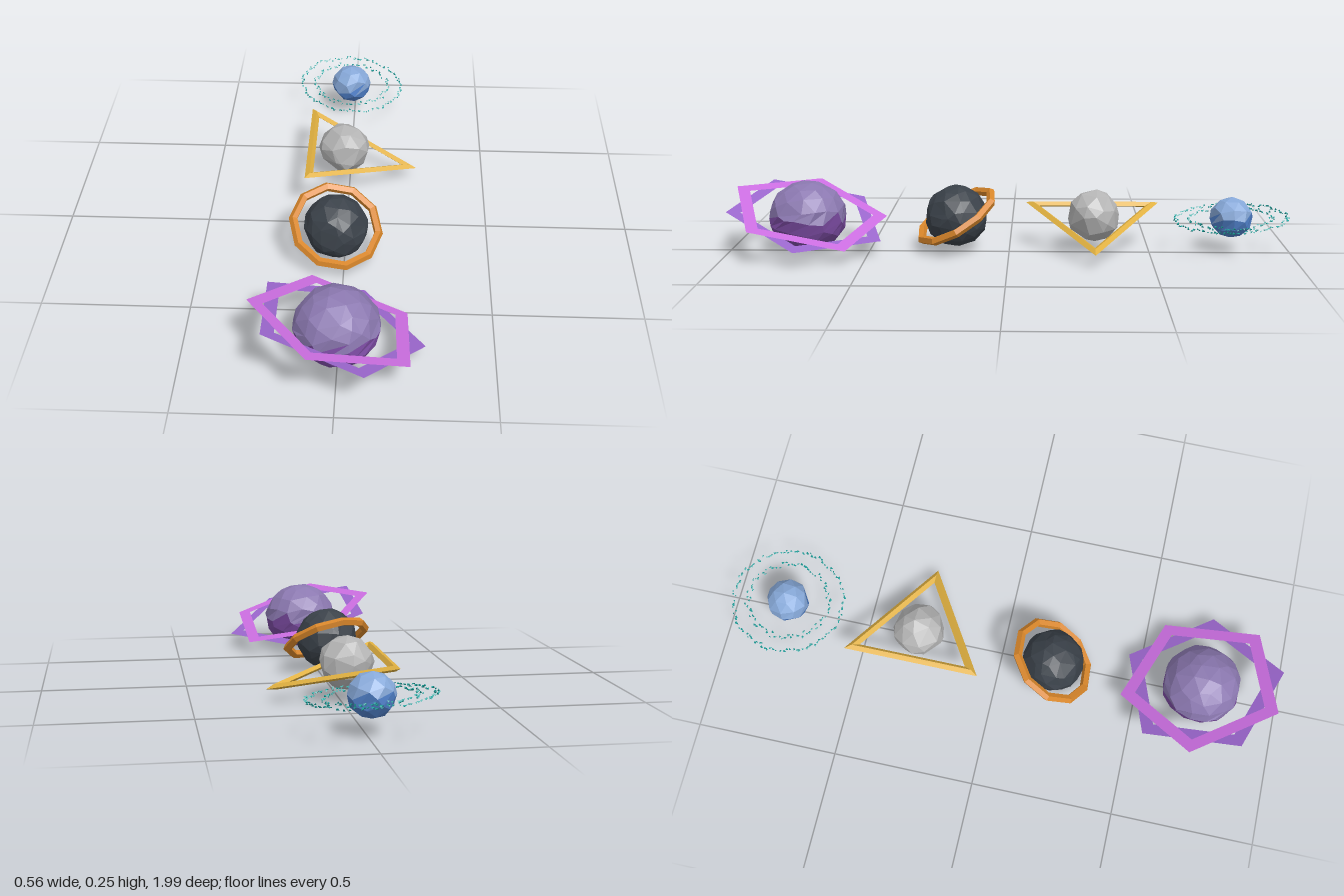
import * as THREE from 'three';
import { mergeGeometries } from 'three/addons/utils/BufferGeometryUtils.js';

const paint = (color) => new THREE.MeshStandardMaterial({ color, flatShading: true, side: THREE.DoubleSide });

function addMesh(parent, name, geometry, color) {
  const mesh = new THREE.Mesh(geometry, paint(color));
  mesh.name = name;
  parent.add(mesh);
  return mesh;
}

// Repeatable offset from a position, so shared corners move together
function noise(v, seed) {
  const r = (n) => Math.round(n * 1000) / 1000;
  const s = Math.sin(r(v.x) * 12.99 + r(v.y) * 78.23 + r(v.z) * 37.72 + seed) * 437.58;
  return (s - Math.floor(s)) * 2 - 1;
}

// Faceted ball with rough corners, optionally twisted about its equator
function roughBall(radius, detail, rough, twist, squash = 1) {
  const geo = new THREE.IcosahedronGeometry(1, detail);
  const pos = geo.attributes.position;
  const v = new THREE.Vector3();
  const up = new THREE.Vector3(0, 1, 0);
  for (let i = 0; i < pos.count; i++) {
    v.fromBufferAttribute(pos, i);
    const dx = noise(v, 1), dy = noise(v, 2), dz = noise(v, 3);
    const angle = twist * Math.tanh(v.y * 3);
    v.x += dx * rough;
    v.y += dy * rough;
    v.z += dz * rough;
    v.normalize().multiplyScalar(radius * (1 - Math.abs(dx) * rough * 0.4)).applyAxisAngle(up, angle);
    pos.setXYZ(i, v.x, v.y * squash, v.z);
  }
  geo.computeVertexNormals();
  return geo;
}

// Keep only the faces on one side of the equator
function half(geo, sign) {
  const p = geo.attributes.position;
  const kept = [];
  for (let i = 0; i < p.count; i += 3) {
    const y = p.getY(i) + p.getY(i + 1) + p.getY(i + 2);
    if ((y >= 0 ? 1 : -1) !== sign) continue;
    for (let k = i; k < i + 3; k++) kept.push(p.getX(k), p.getY(k), p.getZ(k));
  }
  const out = new THREE.BufferGeometry();
  out.setAttribute('position', new THREE.Float32BufferAttribute(kept, 3));
  out.computeVertexNormals();
  return out;
}

// Lay a ring flat, then tilt it so height changes by a per x and b per z
function addRing(parent, name, geo, color, a, b, y = 0, turn = 0) {
  geo.rotateX(-Math.PI / 2).rotateY(turn);
  const mesh = addMesh(parent, name, geo, color);
  const normal = new THREE.Vector3(-a, 1, -b).normalize();
  mesh.quaternion.setFromUnitVectors(new THREE.Vector3(0, 1, 0), normal);
  mesh.position.y = y;
  return mesh;
}

// Scatter of small flat shards in two bands, lying in the XY plane
function shardRing() {
  let seed = 7;
  const rnd = () => (seed = (seed * 16807) % 2147483647) / 2147483647;
  const shards = [];
  for (const [radius, spread, count] of [[0.196, 0.007, 110], [0.145, 0.01, 80]]) {
    for (let i = 0; i < count; i++) {
      const angle = ((i + rnd()) / count) * Math.PI * 2;
      const shard = new THREE.TetrahedronGeometry(0.006);
      shard.scale(0.5 + rnd() * 0.5, 0.7 + rnd() * 0.9, 0.5 + rnd() * 0.5);
      shard.rotateZ((rnd() - 0.5) * 1.2);
      shard.translate(radius + (rnd() * 2 - 1) * spread, 0, (rnd() - 0.5) * 0.008);
      shard.rotateZ(angle);
      shards.push(shard);
    }
  }
  return mergeGeometries(shards);
}

export function createModel() {
  const model = new THREE.Group();
  model.name = 'planets';
  const addPlanet = (name, x, y, z) => {
    const g = new THREE.Group();
    g.name = name;
    g.position.set(x, y, z);
    model.add(g);
    return g;
  };

  // Purple planet with two pentagon rings
  const purple = addPlanet('purplePlanet', -0.003, 0.127, 0.72);
  const purpleBall = roughBall(0.142, 2, 0.09, 0.45, 0.91);
  addMesh(purple, 'purpleUpperHalf', half(purpleBall, 1), 0x8b78b0);
  addMesh(purple, 'purpleLowerHalf', half(purpleBall, -1), 0x7a4aa0);
  addRing(purple, 'pinkPentagonRing', new THREE.RingGeometry(0.238, 0.29, 5), 0xcb6ee0, -0.265, 0.21, 0.015, Math.PI);
  addRing(purple, 'violetPentagonRing', new THREE.RingGeometry(0.238, 0.29, 5), 0x9a66cc, -0.265, 0.2, 0.002);

  // Dark rocky planet with a chunky orange ring
  const dark = addPlanet('darkPlanet', -0.03, 0.125, 0.19);
  addMesh(dark, 'darkBall', roughBall(0.114, 2, 0.13, 0), 0x3a4149);
  addRing(dark, 'orangeRing', new THREE.TorusGeometry(0.15, 0.016, 5, 10), 0xd8862a, -0.25, -0.58);

  // Grey planet with a gold triangle ring
  const grey = addPlanet('greyPlanet', -0.02, 0.13, -0.3);
  addMesh(grey, 'greyBall', roughBall(0.097, 1, 0.17, 0), 0xb4b4b4);
  const triangle = new THREE.TorusGeometry(0.25, 0.029, 4, 3).scale(1, 1, 0.35);
  addRing(grey, 'goldTriangleRing', triangle, 0xe0b040, -0.26, 0, -0.013);

  // Blue planet with a ring of shards
  const blue = addPlanet('bluePlanet', -0.013, 0.128, -0.79);
  const blueBall = roughBall(0.078, 1, 0.07, 0.4, 0.95);
  addMesh(blue, 'blueUpperHalf', half(blueBall, 1), 0x86a8d8);
  addMesh(blue, 'blueLowerHalf', half(blueBall, -1), 0x4f7fc8);
  addRing(blue, 'shardRing', shardRing(), 0x22a5a0, -0.06, -0.05, -0.003);

  return model;
}
